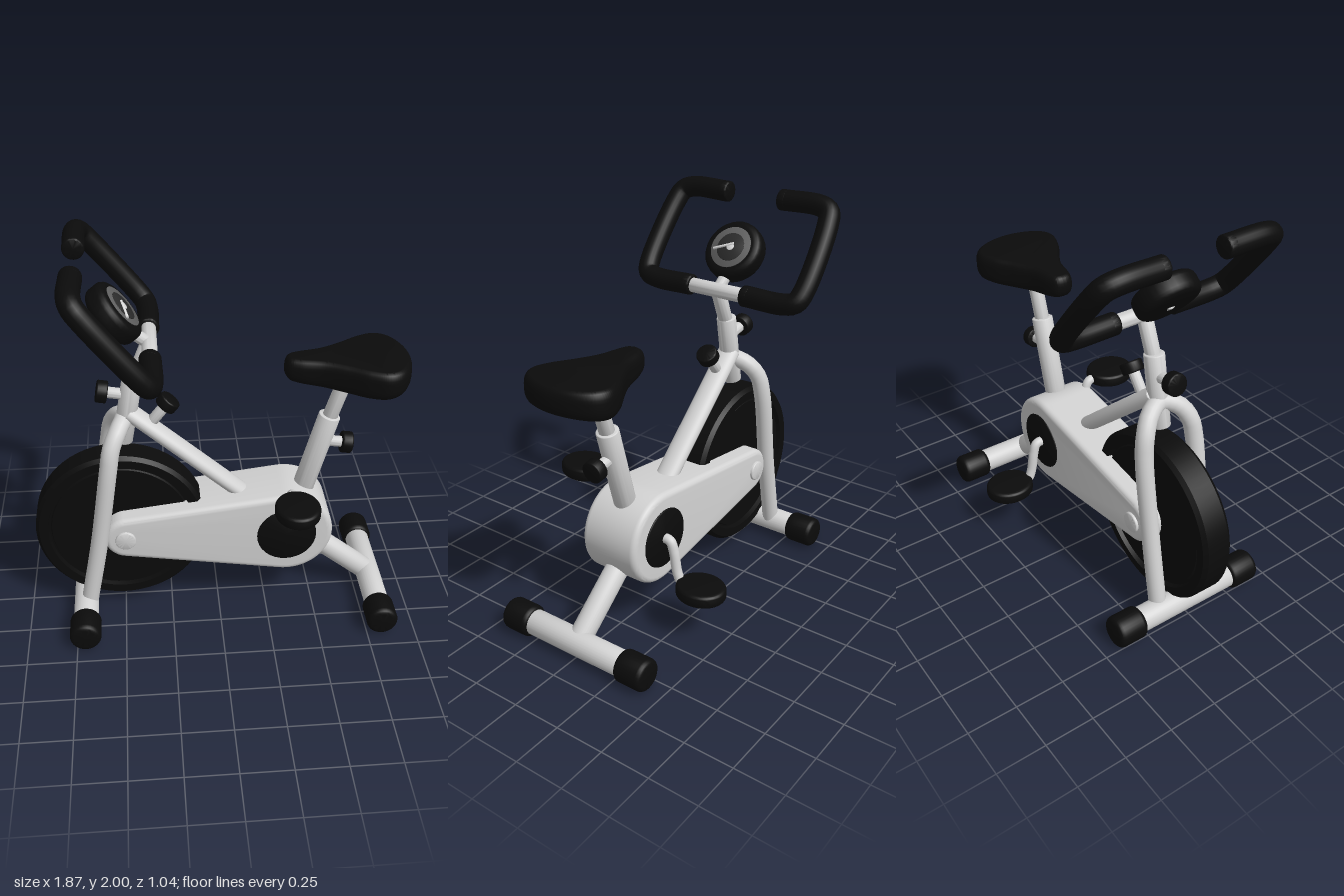
import * as THREE from 'three';
import { toCreasedNormals } from 'three/addons/utils/BufferGeometryUtils.js';

const V = (x, y, z = 0) => new THREE.Vector3(x, y, z);
const material = (name, color) => Object.assign(new THREE.MeshStandardMaterial({ color }), { name });

export function createModel() {
  const model = new THREE.Group();
  model.name = 'exerciseBike';
  const paint = material('light grey paint', 0xd2d2d2);
  const black = material('black rubber', 0x0b0b0b);
  const dialDark = material('dial dark grey', 0x2c2c2c);
  const dialGrey = material('dial grey', 0x606060);
  const white = material('needle white', 0xdddddd);

  function add(name, geometry, mat, parent = model) {
    const mesh = new THREE.Mesh(geometry, mat);
    mesh.name = name;
    parent.add(mesh);
    return mesh;
  }

  // Straight bar between two points; round softens the end edges, flat squashes its thickness
  function bar(name, p, q, r, mat, round = 0.006, flat = 1) {
    const len = p.distanceTo(q);
    const pts = [new THREE.Vector2(0, 0)];
    for (let end = 0; end < 2; end++) {
      for (let i = 0; i <= 4; i++) {
        const a = (i / 4) * Math.PI / 2;
        const x = r - round + round * (end ? Math.cos(a) : Math.sin(a));
        const y = end ? len - round + round * Math.sin(a) : round - round * Math.cos(a);
        pts.push(new THREE.Vector2(x, y));
      }
    }
    pts.push(new THREE.Vector2(0, len));
    const g = toCreasedNormals(new THREE.LatheGeometry(pts, 32), 0.6);
    g.scale(flat, 1, 1);
    const mesh = add(name, g, mat);
    mesh.quaternion.setFromUnitVectors(V(0, 1, 0), q.clone().sub(p).normalize());
    mesh.position.copy(p);
    return mesh;
  }

  function tube(name, points, r, mat) {
    const curve = new THREE.CatmullRomCurve3(points, false, 'centripetal');
    return add(name, new THREE.TubeGeometry(curve, 64, r, 20), mat);
  }

  // Extruded outline with rounded edges that stays inside the outline
  function padGeometry(shape, height, round, inset = round) {
    const g = new THREE.ExtrudeGeometry(shape, {
      depth: height - 2 * round, bevelThickness: round, bevelSize: inset,
      bevelOffset: -inset, bevelSegments: 5, curveSegments: 24,
    });
    g.translate(0, 0, round - height / 2);
    return toCreasedNormals(g, 0.6);
  }

  // Flywheel with a shallow groove on each face
  const wheelProfile = [
    [0, -0.065], [0.355, -0.065], [0.36, -0.055], [0.37, -0.055], [0.375, -0.08], [0.42, -0.08],
    [0.437, -0.06], [0.437, 0.06], [0.42, 0.08], [0.375, 0.08], [0.37, 0.055], [0.36, 0.055],
    [0.355, 0.065], [0, 0.065],
  ].map(([x, y]) => new THREE.Vector2(x, y));
  const wheel = add('flywheel', toCreasedNormals(new THREE.LatheGeometry(wheelProfile, 64), 0.5), black);
  wheel.rotation.x = Math.PI / 2;
  wheel.position.set(-0.5, 0.507, 0);

  // Drive casing: two unequal circles joined by tangents
  const big = { x: 0.35, y: 0.48, r: 0.235 }, small = { x: -0.47, y: 0.495, r: 0.118 };
  const lean = Math.PI / 2 + Math.asin((big.r - small.r) / (big.x - small.x));
  const outline = new THREE.Shape();
  outline.absarc(big.x, big.y, big.r, -lean, lean, false);
  outline.absarc(small.x, small.y, small.r, lean, 2 * Math.PI - lean, false);
  add('driveCasing', padGeometry(outline, 0.32, 0.03), paint);

  for (const s of [1, -1]) {
    bar('crankCover', V(0.345, 0.48, s * 0.1), V(0.345, 0.48, s * 0.167), 0.153, black);
    bar('axleCap', V(-0.48, 0.495, s * 0.1), V(-0.48, 0.495, s * 0.174), 0.052, paint);
  }

  // Feet with rounded end caps
  for (const [name, x] of [['frontFoot', -0.705], ['rearFoot', 0.825]]) {
    bar(name, V(x, 0.082, -0.3), V(x, 0.082, 0.3), 0.064, paint);
    for (const s of [1, -1]) {
      bar(name + 'Cap', V(x, 0.082, s * 0.27), V(x, 0.082, s * 0.428), 0.08, black, 0.025);
    }
  }

  // Front fork: one arched tube
  const half = [V(-0.69, 0.08, 0.147), V(-0.61, 0.5, 0.147), V(-0.545, 0.92, 0.147),
    V(-0.525, 1.03, 0.128), V(-0.49, 1.1, 0.08)];
  const mirrored = half.map((p) => V(p.x, p.y, -p.z)).reverse();
  tube('frontFork', [...half, V(-0.46, 1.13, 0), ...mirrored], 0.044, paint);

  // Frame tubes
  bar('mainTube', V(-0.44, 1.17), V(0.2, 0.59), 0.06, paint, 0.006, 0.68)
    .rotateY(0);
  bar('rearTube', V(0.4, 0.43), V(0.82, 0.085), 0.058, paint);
  bar('headTube', V(-0.47, 1.0), V(-0.405, 1.365), 0.05, paint);
  bar('handlebarStem', V(-0.42, 1.3), V(-0.325, 1.53), 0.037, paint);
  bar('seatTube', V(0.43, 0.62), V(0.56, 1.095), 0.055, paint);
  bar('seatPost', V(0.54, 1.02), V(0.64, 1.34), 0.038, paint);

  // Adjusting knobs
  function knob(name, root, top) {
    const dir = top.clone().sub(root).normalize();
    bar(name + 'Shaft', root, top.clone().addScaledVector(dir, -0.03), 0.028, paint);
    bar(name, top.clone().addScaledVector(dir, -0.055), top, 0.055, black, 0.008);
  }
  knob('stemKnob', V(-0.42, 1.255), V(-0.585, 1.285));
  knob('frameKnob', V(-0.34, 1.08), V(-0.225, 1.225));
  knob('seatKnob', V(0.52, 0.95), V(0.68, 0.925));

  // Handlebar: grey crossbar and a bent grip on each side
  const base = V(-0.32, 1.53), up = V(-0.33, 0.415).normalize();
  const onBar = (z, t) => base.clone().addScaledVector(up, t).setZ(z);
  bar('handlebarCrossbar', onBar(-0.2, 0), onBar(0.2, 0), 0.037, paint);
  const gripPath = [[0.165, 0], [0.38, 0], [0.44, 0.02], [0.46, 0.08], [0.452, 0.43],
    [0.43, 0.505], [0.37, 0.53], [0.165, 0.53]];
  for (const s of [1, -1]) {
    tube('handlebarGrip', gripPath.map(([z, t]) => onBar(s * z, t)), 0.053, black);
    for (const t of [0, 0.53]) {
      bar('gripEnd', onBar(s * 0.15, t), onBar(s * 0.2, t), 0.053, black, 0.01);
    }
  }

  // Round console with a dial facing the rider
  const out = V(up.y, -up.x).normalize();
  const dialCentre = V(-0.465, 1.7);
  const along = (d) => dialCentre.clone().addScaledVector(out, d);
  bar('consoleBody', along(-0.07), along(0.04), 0.155, black, 0.035);
  bar('dialRing', along(0.035), along(0.043), 0.11, dialGrey, 0.001);
  bar('dialFace', along(0.037), along(0.046), 0.075, dialDark, 0.001);
  const onDial = (z, t) => along(0.047).addScaledVector(up, t).setZ(z);
  bar('dialNeedle', onDial(-0.015, 0.02), onDial(0.09, -0.025), 0.007, white, 0.001);
  bar('dialHub', along(0.042), along(0.05), 0.02, white, 0.001);
  bar('consoleNeck', base.clone(), along(-0.05), 0.03, paint);

  // Saddle: narrow nose widening to a broad back, with a slightly bowed underside
  const side = [[0.335, 0.045], [0.39, 0.07], [0.5, 0.095], [0.6, 0.145], [0.7, 0.205],
    [0.79, 0.232], [0.865, 0.2], [0.915, 0.115]];
  const saddleOutline = new THREE.Shape();
  saddleOutline.moveTo(0.32, 0);
  saddleOutline.splineThru([
    ...side.map(([x, z]) => new THREE.Vector2(x, -z)), new THREE.Vector2(0.935, 0),
    ...side.slice().reverse().map(([x, z]) => new THREE.Vector2(x, z)), new THREE.Vector2(0.32, 0),
  ]);
  const saddle = padGeometry(saddleOutline, 0.146, 0.05, 0.03);
  saddle.rotateX(-Math.PI / 2);
  const pos = saddle.attributes.position;
  for (let i = 0; i < pos.count; i++) {
    if (pos.getY(i) < 0) pos.setY(i, pos.getY(i) + 0.3 * (pos.getX(i) - 0.66) ** 2);
  }
  saddle.translate(0, 1.361, 0);
  add('saddle', saddle, black);

  // Oval pedals and their bent cranks
  const oval = new THREE.Shape();
  oval.absellipse(0, 0, 0.113, 0.128, 0, Math.PI * 2, false);
  const pedal = padGeometry(oval, 0.066, 0.02);
  pedal.rotateX(-Math.PI / 2);
  add('leftPedal', pedal, black).position.set(0.371, 0.74, 0.303);
  add('rightPedal', pedal, black).position.set(0.342, 0.26, -0.375);
  tube('leftCrank', [V(0.36, 0.62, 0.11), V(0.36, 0.69, 0.135), V(0.362, 0.735, 0.16),
    V(0.365, 0.74, 0.22)], 0.024, paint);
  tube('rightCrank', [V(0.345, 0.48, -0.15), V(0.345, 0.472, -0.195), V(0.344, 0.42, -0.215),
    V(0.343, 0.31, -0.235), V(0.342, 0.268, -0.255), V(0.342, 0.26, -0.3)], 0.025, paint);

  return model;
}
